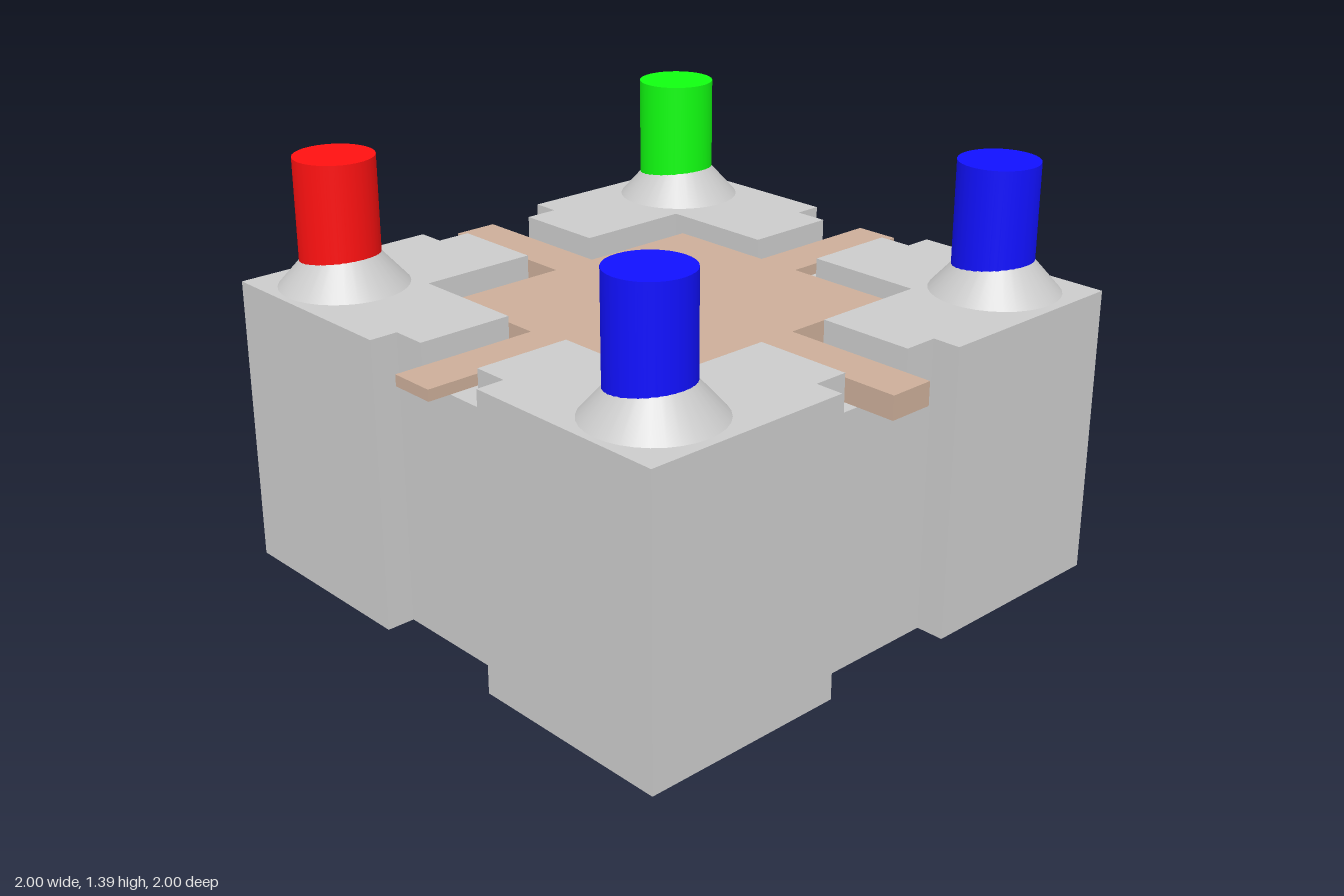
import * as THREE from 'three';

const GREY = 0xcccccc, TAN = 0xccae99;
const FLOOR = 0.848, TOP = 0.97, PIN_R = 0.13;

// Corner posts: pins sit slightly behind the centres of their collars
const CORNERS = [
  { name: 'FrontLeft', sx: 1, sz: 1, color: 0x1111ff },
  { name: 'FrontRight', sx: -1, sz: 1, color: 0x1111ff },
  { name: 'BackLeft', sx: 1, sz: -1, color: 0x11ff11 },
  { name: 'BackRight', sx: -1, sz: -1, color: 0xff1111 },
].map(c => ({ ...c, x: 0.73 * c.sx, collarZ: 0.724 * c.sz - 0.004, pinZ: 0.724 * c.sz - 0.018 }));

function mesh(name, geometry, color, flat = false) {
  const m = new THREE.Mesh(geometry, new THREE.MeshStandardMaterial({ color, flatShading: flat }));
  m.name = name;
  return m;
}

// Extrude a plan outline of [x, z] points from y0 to y1, with optional pin holes
function slab(points, y0, y1, holes = []) {
  const shape = new THREE.Shape(points.map(([x, z]) => new THREE.Vector2(x, -z)));
  for (const c of holes) {
    shape.holes.push(new THREE.Path().absarc(c.x, -c.pinZ, PIN_R, 0, Math.PI * 2, true));
  }
  const g = new THREE.ExtrudeGeometry(shape, { depth: y1 - y0, bevelEnabled: false, curveSegments: 32 });
  return g.rotateX(-Math.PI / 2).translate(0, y0, 0);
}

// Repeat one quadrant's outline around all four, keeping the point order continuous
function fourWay(quadrant) {
  const flip = (sx, sz) => quadrant.map(([x, z]) => [x * sx, z * sz]);
  return [...flip(1, 1), ...flip(1, -1).reverse(), ...flip(-1, -1), ...flip(-1, 1).reverse()];
}

export function createModel() {
  const model = new THREE.Group();

  // Block body with a shallow notch in the middle of each side
  const outer = [[0.253, 0.867], [0.253, 0.962], [0.962, 0.962], [0.962, 0.253], [0.867, 0.253]];
  model.add(mesh('body', slab(fourWay(outer), 0, FLOOR, CORNERS), GREY, true));

  // Raised corners, leaving a cross-shaped recess between them
  const raised = [[0.135, 0.867], ...outer, [0.867, 0.135], [0.54, 0.135], [0.54, 0.54], [0.135, 0.54]];
  for (const c of CORNERS) {
    const pts = raised.map(([x, z]) => [x * c.sx, z * c.sz]);
    model.add(mesh('raisedCorner' + c.name, slab(pts, FLOOR, TOP, [c]), GREY, true));

    const collar = new THREE.CylinderGeometry(0.094, 0.21, 0.13, 32);
    collar.translate(c.x, TOP + 0.065, c.collarZ);
    model.add(mesh('collar' + c.name, collar, GREY));

    const pin = new THREE.CylinderGeometry(PIN_R, PIN_R, 1.387, 32);
    pin.translate(c.x, 1.387 / 2, c.pinZ);
    model.add(mesh('pin' + c.name, pin, c.color));
  }

  // Plate in the recess: thick front and back arms, thin side arms
  const lower = [[0.078, 1], [0.078, 0.463], [0.5, 0.463]];
  const upper = [...lower, [0.5, 0.078], [1, 0.078]];
  model.add(mesh('plateLower', slab(fourWay(lower), FLOOR, 0.888), TAN, true));
  model.add(mesh('plateUpper', slab(fourWay(upper), 0.888, 0.925), TAN, true));

  return model;
}
